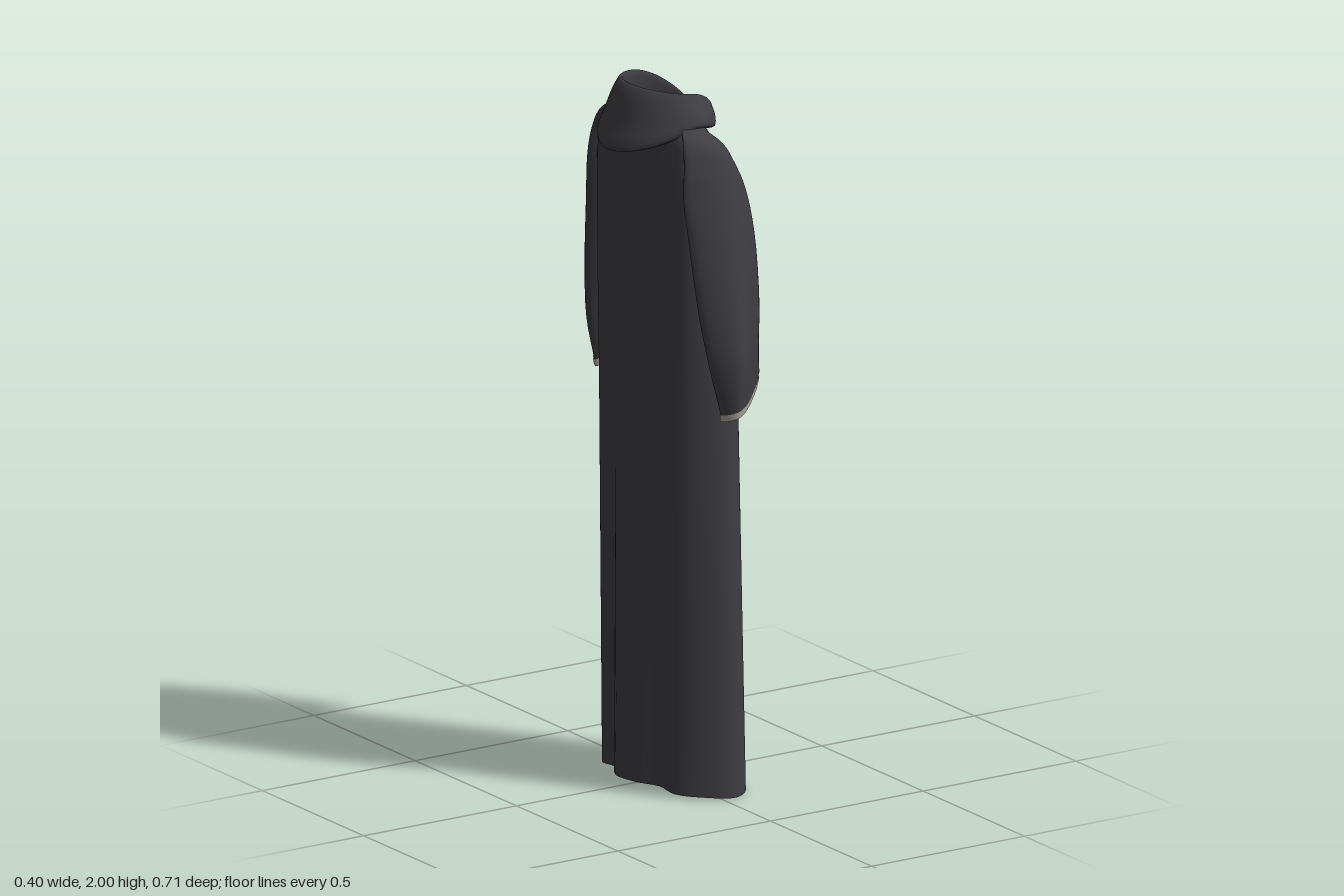
import * as THREE from 'three';

const mat = (name, color) => {
  const m = new THREE.MeshStandardMaterial({ color, side: THREE.DoubleSide });
  m.name = name;
  return m;
};
const V = (x, y, z) => new THREE.Vector3(x, y, z);
const closedCurve = (pts, n) => new THREE.CatmullRomCurve3(pts, true).getPoints(n).slice(0, n);

// Skin a list of closed rings that share a point count
function loft(rings) {
  const n = rings[0].length, idx = [];
  for (let r = 0; r < rings.length - 1; r++)
    for (let i = 0; i < n; i++) {
      const a = r * n + i, b = r * n + (i + 1) % n;
      idx.push(a, a + n, b, b, a + n, b + n);
    }
  const g = new THREE.BufferGeometry().setFromPoints(rings.flat());
  g.setIndex(idx);
  g.computeVertexNormals();
  return g;
}

// Smooth a stack of rings lengthwise
function smooth(rings, steps) {
  const cols = rings[0].map((_, i) =>
    new THREE.CatmullRomCurve3(rings.map(r => r[i])).getPoints((rings.length - 1) * steps));
  return cols[0].map((_, r) => cols.map(c => c[r]));
}

// Body half sections [x, z], from front centre round the side to back centre
const SECTIONS = [
  [0, [[.2, 0], [.188, .034], [.14, .052], [.05, .082], [.1, .115], [.119, .17], [.1, .228], [.035, .27], [-.04, .238], [-.1, .18], [-.105, .11], [-.14, .06], [-.165, 0]]],
  [1.1, [[.15, 0], [.142, .034], [.115, .055], [.076, .083], [.095, .115], [.103, .165], [.08, .22], [.02, .26], [-.05, .24], [-.103, .19], [-.11, .115], [-.132, .06], [-.147, 0]]],
  [1.5, [[.115, 0], [.112, .035], [.105, .06], [.096, .085], [.094, .115], [.088, .165], [.065, .215], [.01, .245], [-.06, .238], [-.103, .2], [-.113, .13], [-.126, .065], [-.136, 0]]],
  [1.75, [[.088, 0], [.087, .035], [.084, .06], [.08, .085], [.074, .115], [.06, .165], [.04, .21], [0, .242], [-.06, .238], [-.097, .21], [-.112, .15], [-.12, .075], [-.125, 0]]],
  [1.84, [[.076, 0], [.075, .03], [.072, .055], [.067, .08], [.06, .11], [.045, .155], [.025, .2], [-.01, .23], [-.05, .23], [-.08, .2], [-.098, .15], [-.11, .075], [-.115, 0]]],
];
const HEM = [.035, .033, .03, .022, .012, .005, 0, 0, .005, .01, .016, .02, .025];

function bodyRing(y, hem = 0) {
  let k = 0;
  while (k < SECTIONS.length - 2 && y > SECTIONS[k + 1][0]) k++;
  const [y0, a] = SECTIONS[k], [y1, b] = SECTIONS[k + 1];
  const t = Math.min((y - y0) / (y1 - y0), 1);
  const half = a.map((p, i) => V(p[0] + (b[i][0] - p[0]) * t, y + hem * HEM[i], p[1] + (b[i][1] - p[1]) * t));
  const mirrored = half.slice(1, -1).reverse().map(p => V(p.x, p.y, -p.z));
  return closedCurve([...half, ...mirrored], 96);
}

// Front surface x of the body at a given height and offset from centre
function frontX(y, z) {
  const r = bodyRing(Math.min(y, 1.84)), s = Math.abs(z);
  for (let i = 0; i < 24; i++) {
    const p = r[i], q = r[i + 1];
    if (s >= p.z && s <= q.z) return p.x + (q.x - p.x) * (s - p.z) / (q.z - p.z);
  }
  return r[0].x;
}

// Thin strip lying on the chest, with an optional rounded lower end
function strip(z, y0, y1, width, lift, round) {
  const g = new THREE.PlaneGeometry(1, 1, 6, Math.max(2, Math.ceil((y1 - y0) * 70)));
  const p = g.attributes.position, R = width / 2;
  for (let i = 0; i < p.count; i++) {
    const y = y0 + (p.getY(i) + .5) * (y1 - y0), d = Math.max(0, 1 - (y - y0) / R);
    const w = round ? Math.sqrt(1 - d * d) : 1;
    const zz = z - p.getX(i) * width * w;
    p.setXYZ(i, frontX(y, zz) + lift, y, zz);
  }
  g.computeVertexNormals();
  return g;
}

// Sleeve sections: height at front and back edge, then [x, z] of
// front edge, outer front, outer ridge, back edge, inner back, inner front
const SLEEVE = [
  [1.9, 1.9, [[-.01, .165], [-.02, .175], [-.045, .18], [-.07, .17], [-.06, .155], [-.03, .155]]],
  [1.855, 1.862, [[.035, .21], [.015, .235], [-.03, .243], [-.09, .21], [-.06, .18], [0, .18]]],
  [1.8, 1.8, [[.062, .228], [.035, .252], [-.02, .262], [-.102, .232], [-.06, .19], [.01, .19]]],
  [1.73, 1.73, [[.088, .24], [.05, .268], [-.015, .278], [-.11, .238], [-.06, .2], [.03, .2]]],
  [1.6, 1.6, [[.115, .243], [.07, .285], [-.01, .303], [-.102, .255], [-.05, .215], [.05, .212]]],
  [1.4, 1.4, [[.142, .225], [.09, .285], [0, .337], [-.088, .282], [-.045, .25], [.06, .228]]],
  [1.29, 1.24, [[.153, .207], [.098, .28], [0, .356], [-.066, .305], [-.025, .275], [.07, .238]]],
  [1.185, 1.117, [[.165, .19], [.1, .272], [0, .347], [-.037, .31], [0, .285], [.08, .235]]],
  [1.167, 1.098, [[.165, .188], [.1, .27], [0, .344], [-.034, .308], [0, .283], [.08, .233]]],
];
function sleeveRing([yFront, yBack, pts], side, grow = 0) {
  const front = pts[0][0], back = pts[3][0];
  const ring = pts.map(([x, z]) => V(x, yBack + (yFront - yBack) * (x - back) / (front - back), z));
  const centre = ring.reduce((s, p) => s.addScaledVector(p, 1 / ring.length), V(0, 0, 0));
  return closedCurve(ring.map(p => {
    const q = p.clone().addScaledVector(p.clone().sub(centre).normalize(), grow);
    q.z *= side;
    return q;
  }), 42);
}

// Hood sections: front [x, y], side [z, y], back [x, y]
const HOOD = [
  [[.09, 1.838], [.135, 1.885], [-.11, 1.84]],
  [[.104, 1.838], [.18, 1.9], [-.203, 1.825]],
  [[.112, 1.848], [.172, 1.932], [-.178, 1.895]],
  [[.113, 1.856], [.147, 1.97], [-.15, 1.972]],
  [[.111, 1.86], [.135, 1.987], [-.128, 1.999]],
  [[.107, 1.855], [.128, 1.972], [-.112, 1.982]],
  [[.1, 1.842], [.126, 1.915], [-.102, 1.925]],
  [[.09, 1.832], [.118, 1.88], [-.09, 1.875]],
];
function hoodRing([f, s, b]) {
  const cx = -.03;
  return Array.from({ length: 80 }, (_, i) => {
    const u = i / 80 * Math.PI * 2, c = Math.cos(u), z = Math.sin(u), k = Math.abs(c);
    const [end, blend, reach] = c > 0
      ? [f, .2 * k ** 1.3 + .8 * (1 - Math.abs(z)), k]
      : [b, k ** 1.2, k ** 1.2];
    // the two flaps part at the throat
    const notch = c > 0 ? .035 * Math.max(0, 1 - Math.abs(z) / .24) : 0;
    return V(cx + (end[0] - cx) * reach - notch, s[1] + (end[1] - s[1]) * blend, s[0] * z);
  });
}

export function createModel() {
  const cloth = mat('charcoal cloth', 0x3e3d42);
  const trim = mat('pale trim', 0xaba79c);
  const stitch = mat('dark stitching', 0x55534f);
  const group = new THREE.Group();
  const add = (name, geo, m, parent = group) => {
    const mesh = new THREE.Mesh(geo, m);
    mesh.name = name;
    parent.add(mesh);
  };

  // Long pleated body, closing over the shoulders to the neck
  const hem = bodyRing(0, 1);
  const rings = [hem];
  for (const y of [.2, .4, .6, .8, 1, 1.1, 1.2, 1.3, 1.4, 1.5, 1.6, 1.68, 1.75, 1.8, 1.84]) rings.push(bodyRing(y));
  const top = bodyRing(1.84);
  for (const [w, rise] of [[.88, .038], [.75, .06], [.62, .072]])
    rings.push(top.map(p => V(p.x * (.85 + .15 * w), 1.84 + rise * (1 - Math.max(0, p.x) / .08), p.z * w)));
  add('robeBody', loft(rings), cloth);

  // Underside, following the wavy hem
  const base = new THREE.ShapeGeometry(new THREE.Shape(hem.map(p => new THREE.Vector2(p.x, p.z))));
  base.rotateX(Math.PI / 2);
  const bp = base.attributes.position;
  for (let i = 0; i < bp.count; i++) {
    const gap = p => Math.hypot(p.x - bp.getX(i), p.z - bp.getZ(i));
    bp.setY(i, hem.reduce((m, p) => (gap(p) < gap(m) ? p : m)).y + .002);
  }
  base.computeVertexNormals();
  add('hemUnderside', base, cloth);

  // Wide sleeves with trimmed cuffs
  for (const [side, label] of [[1, 'first'], [-1, 'second']]) {
    const arm = new THREE.Group();
    arm.name = label + 'Arm';
    add('sleeve', loft(smooth(SLEEVE.map(s => sleeveRing(s, side)), 4)), cloth, arm);
    add('cuffTrim', loft(SLEEVE.slice(-2).map(s => sleeveRing(s, side, .003))), trim, arm);
    group.add(arm);
  }

  // Folded hood
  add('hood', loft(smooth(HOOD.map(hoodRing), 3)), cloth);

  // Chest placket with stitched lines
  add('placket', strip(0, 1.395, 1.85, .074, .005, true), trim);
  for (const z of [-.02, .012])
    for (let i = 0; i < 9; i++)
      add('placketStitch', strip(z, 1.43 + i * .045, 1.46 + i * .045, .003, .006), stitch);

  return group;
}
